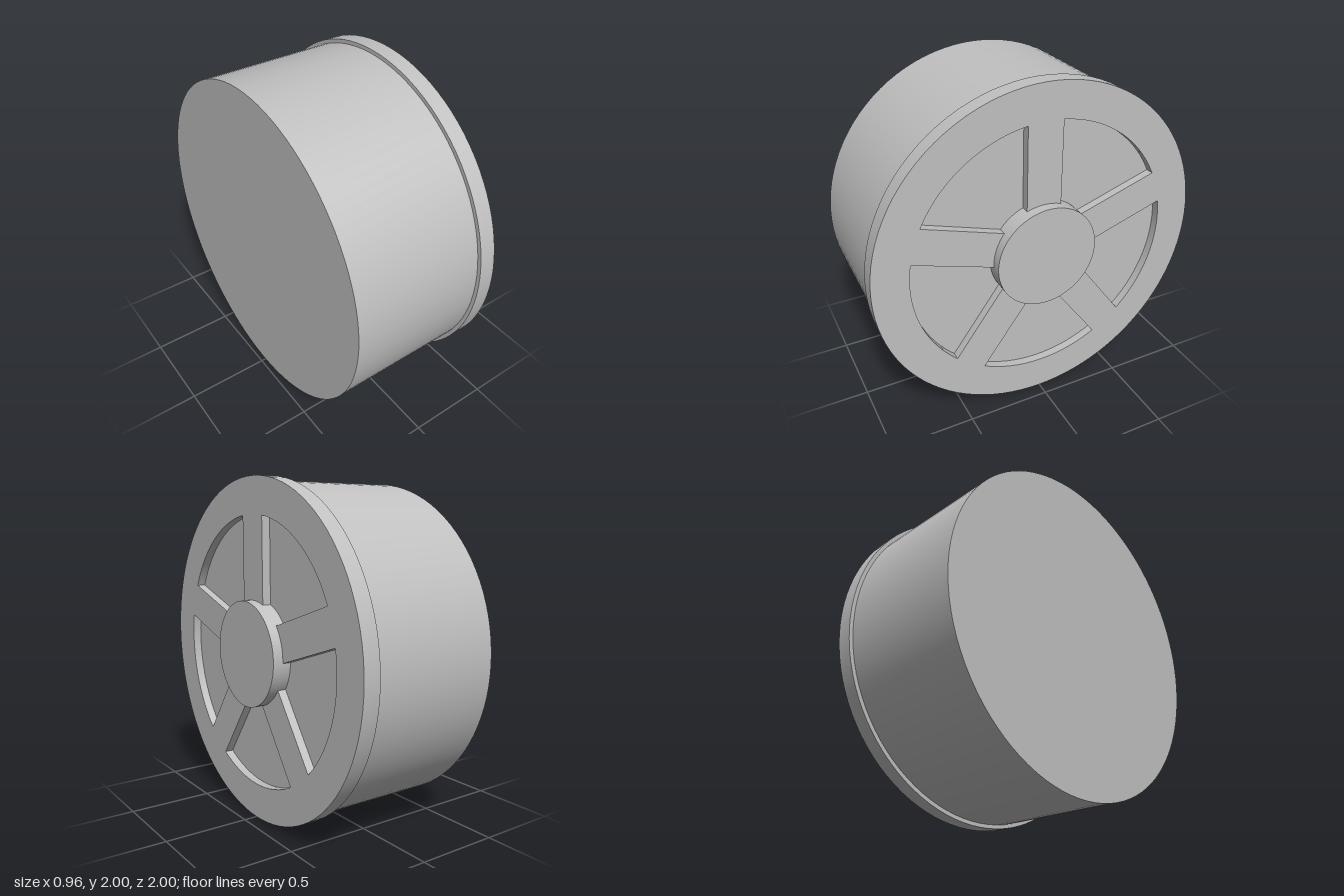
import * as THREE from 'three';
import { toCreasedNormals } from 'three/addons/utils/BufferGeometryUtils.js';

export function createModel() {
  const model = new THREE.Group();
  model.name = 'wheel';
  const metal = new THREE.MeshStandardMaterial({ color: 0xc0c0c0 });
  metal.name = 'light grey';

  // Axial positions along x and radii
  const back = -0.48, flange = 0.32, floor = 0.37, face = 0.42, hubFace = 0.48;
  const rBarrel = 0.977, rRim = 1, rInner = 0.79, rHub = 0.307;

  const wheel = new THREE.Group();
  wheel.name = 'wheelBody';
  wheel.position.y = 1;
  model.add(wheel);

  const add = (geometry, name) => {
    const mesh = new THREE.Mesh(geometry, metal);
    mesh.name = name;
    wheel.add(mesh);
    return mesh;
  };

  // Turned part: profile of [radius, x], spun about the x axis
  const turned = (name, profile) => {
    const points = profile.map(([r, x]) => new THREE.Vector2(r, x));
    const geometry = new THREE.LatheGeometry(points, 96).rotateZ(-Math.PI / 2);
    add(toCreasedNormals(geometry, 0.5), name);
  };

  turned('barrel', [[0, back], [rBarrel, back], [rBarrel, flange]]);
  turned('rim', [[rBarrel, flange], [rRim, flange], [rRim, face], [rInner, face], [rInner, floor]]);
  turned('recessedDisc', [[rInner, floor], [0, floor]]);
  turned('hub', [[rHub, floor], [rHub, hubFace], [0, hubFace]]);

  // Five raised spokes, with ends curved to fit the hub and the rim
  const half = 0.105;
  const outer = Math.asin(half / rInner), inner = Math.asin(half / rHub);
  const shape = new THREE.Shape();
  shape.absarc(0, 0, rInner, Math.PI / 2 - outer, Math.PI / 2 + outer, false);
  shape.absarc(0, 0, rHub, Math.PI / 2 + inner, Math.PI / 2 - inner, true);
  shape.closePath();
  const spoke = new THREE.ExtrudeGeometry(shape, { depth: face - floor, bevelEnabled: false, curveSegments: 8 });
  spoke.rotateY(Math.PI / 2).translate(floor, 0, 0);
  for (let i = 0; i < 5; i++) {
    add(spoke, `spoke${i + 1}`).rotation.x = (i * Math.PI * 2) / 5;
  }

  return model;
}
